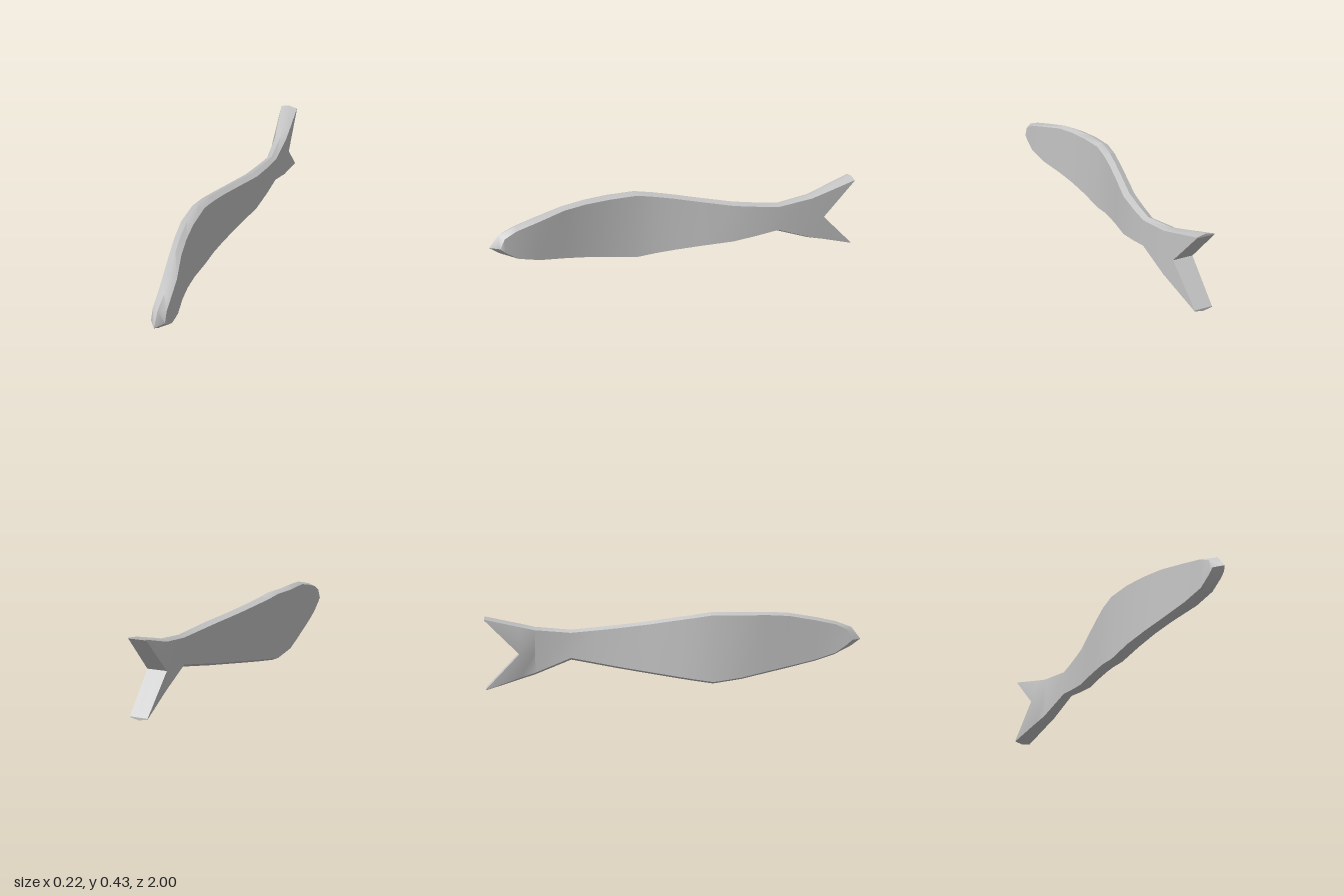
import * as THREE from 'three';
import { mergeGeometries, toCreasedNormals } from 'three/addons/utils/BufferGeometryUtils.js';

// Six-point cross-section: flat left and right sides, shallow ridge above and below.
// bot / top are how far the side corners sit inside the ridge.
function section(z, x0, x1, yb, yt, bot = 0.014, top = 0.013, zEdge = z) {
  const xm = (x0 + x1) / 2;
  return [
    [x0, yb + bot, zEdge], [xm, yb, z], [x1, yb + bot, zEdge],
    [x1, yt - top, zEdge], [xm, yt, z], [x0, yt - top, zEdge],
  ];
}

// Moves the two corners and the middle of one end of a section to a new x range
function shift(sec, isTop, x0, x1) {
  const [l, m, r] = isTop ? [5, 4, 3] : [0, 1, 2];
  sec[l][0] = x0;
  sec[m][0] = (x0 + x1) / 2;
  sec[r][0] = x1;
  return sec;
}

// Skins sections ordered from front to back
function loft(sections, capEnd) {
  const pos = [];
  const tri = (a, b, c) => pos.push(...a, ...b, ...c);
  for (let s = 0; s < sections.length - 1; s++) {
    const a = sections[s], b = sections[s + 1];
    for (let i = 0; i < 6; i++) {
      const j = (i + 1) % 6;
      tri(a[i], b[i], b[j]);
      tri(a[i], b[j], a[j]);
    }
  }
  if (capEnd) {
    const e = sections[sections.length - 1];
    for (let i = 1; i < 5; i++) tri(e[0], e[i + 1], e[i]);
  }
  const g = new THREE.BufferGeometry();
  g.setAttribute('position', new THREE.Float32BufferAttribute(pos, 3));
  return g;
}

export function createModel() {
  const group = new THREE.Group();
  group.name = 'fish';
  const grey = new THREE.MeshStandardMaterial({ color: 0xc4c4c4 });
  grey.name = 'plain grey';

  // Body, swaying from side to side: z, left x, right x, bottom y, top y
  const body = loft([
    section(1, -0.025, 0.045, 0.265, 0.265, 0, 0, 0.95),
    section(0.95, -0.025, 0.045, 0.228, 0.33, 0.013, 0.013, 0.925),
    ...[
      [0.86, -0.028, 0.042, 0.182, 0.363],
      [0.75, -0.044, 0.028, 0.15, 0.388],
      [0.6, -0.069, -0.008, 0.12, 0.417],
      [0.48, -0.09, -0.028, 0.097, 0.426],
      [0.35, -0.109, -0.041, 0.07, 0.428],
      [0.2, -0.106, -0.04, 0.047, 0.43],
      [0.1, -0.093, -0.027, 0.06, 0.414],
      [0, -0.069, -0.006, 0.073, 0.397],
      [-0.13, -0.035, 0.028, 0.09, 0.374],
      [-0.3, 0.012, 0.077, 0.112, 0.347],
      [-0.43, 0.035, 0.095, 0.134, 0.331],
      [-0.55, 0.053, 0.106, 0.155, 0.318],
      [-0.74, 0.037, 0.103, 0.08, 0.337],
    ].map((r) => section(...r)),
  ], false);

  // Two tail lobes with a flat-walled notch between them
  const notchY = 0.203;
  const upper = loft([
    section(-0.74, 0.037, 0.103, notchY, 0.337, 0),
    shift(section(-0.82, 0.023, 0.099, notchY, 0.357, 0), false, -0.008, 0.1),
    section(-1, -0.008, 0.088, 0.386, 0.4, 0, 0.01),
  ], true);
  const lower = loft([
    section(-0.74, 0.037, 0.103, 0.08, notchY, 0.014, 0),
    shift(section(-0.82, 0.023, 0.099, 0.056, notchY, 0.014, 0), true, -0.008, 0.1),
    section(-1, -0.008, 0.088, 0.002, 0.016, 0.01, 0),
  ], true);

  const skin = toCreasedNormals(mergeGeometries([body, upper, lower]), 0.75);
  const mesh = new THREE.Mesh(skin, grey);
  mesh.name = 'bodyAndTail';
  group.add(mesh);
  return group;
}
